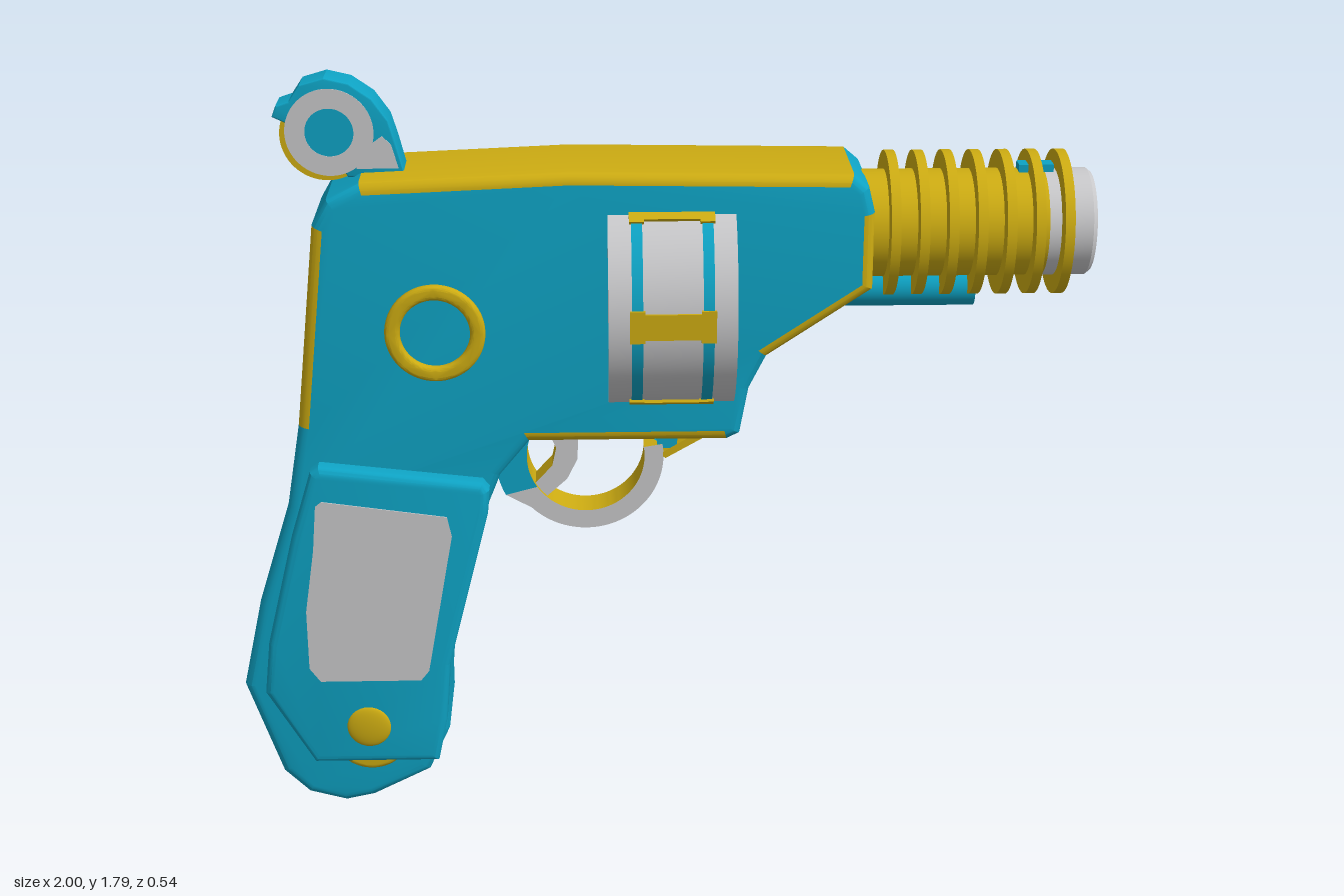
import * as THREE from 'three';
import { toCreasedNormals } from 'three/addons/utils/BufferGeometryUtils.js';

const mat = (name, color) => Object.assign(new THREE.MeshStandardMaterial({ color }), { name });
const teal = mat('teal', 0x0ea3c4);
const yellow = mat('yellow', 0xcdac12);
const grey = mat('light grey', 0xc8c8ca);
const PALETTE = [teal, yellow, grey];
const TEAL = 0, YELLOW = 1, GREY = 2;

const toShape = (pts) => new THREE.Shape(pts.map(([x, y]) => new THREE.Vector2(x, y)));

function disc(x, y, r, hole = 0) {
  const s = new THREE.Shape();
  s.absarc(x, y, r, 0, Math.PI * 2, false);
  if (hole) s.holes.push(new THREE.Path().absarc(x, y, hole, 0, Math.PI * 2, true));
  return s;
}

// Slab of the given total thickness, centred on z = 0, with rounded rims inside the outline
function slab(shape, thickness, bevel = 0) {
  const g = new THREE.ExtrudeGeometry(shape, {
    depth: thickness - 2 * bevel, curveSegments: 32, bevelEnabled: bevel > 0,
    bevelSize: bevel, bevelThickness: bevel, bevelOffset: -bevel, bevelSegments: 4,
  });
  g.translate(0, 0, bevel - thickness / 2);
  return toCreasedNormals(g, 0.4);
}

// Sorts triangles into colour groups by centre and face normal
function paint(g, rule) {
  const p = g.attributes.position, lists = PALETTE.map(() => []);
  const tri = new THREE.Triangle(), c = new THREE.Vector3(), n = new THREE.Vector3();
  for (let i = 0; i < p.count; i += 3) {
    tri.setFromAttributeAndIndices(p, i, i + 1, i + 2);
    tri.getMidpoint(c);
    tri.getNormal(n);
    lists[rule(c, n)].push(i, i + 1, i + 2);
  }
  g.setIndex(lists.flat());
  g.clearGroups();
  let start = 0;
  lists.forEach((l, m) => { g.addGroup(start, l.length, m); start += l.length; });
  return g;
}

export function createModel() {
  const model = new THREE.Group();
  const add = (name, geo, material, x = 0, y = 0, z = 0) => {
    const m = new THREE.Mesh(geo, material);
    m.name = name;
    m.position.set(x, y, z);
    model.add(m);
    return m;
  };

  // Frame and handle in one outline, with yellow top, back, front and underside
  const frame = slab(toShape([
    [0.44, 1.59], [0.475, 1.56], [0.49, 1.5], [0.49, 1.32], [0.25, 1.16], [0.21, 1.08],
    [0.19, 0.97], [0.16, 0.955], [-0.3, 0.955], [-0.37, 0.87], [-0.45, 0.67], [-0.51, 0.4],
    [-0.51, 0.2], [-0.56, 0.09], [-0.7, 0.02], [-0.77, 0.005], [-0.86, 0.03], [-0.92, 0.09],
    [-1, 0.33], [-0.95, 0.55], [-0.87, 0.8], [-0.835, 1], [-0.78, 1.48], [-0.745, 1.54],
    [-0.67, 1.58], [-0.2, 1.6],
  ]), 0.284, 0.026);
  add('frame', paint(frame, (c, n) => {
    if (Math.abs(n.z) > 0.99) return TEAL;
    const top = c.y > 1.54 && c.x > -0.66 && c.x < 0.42;
    const front = c.x > 0.27 && c.y > 1.17 && c.y < 1.5;
    const under = c.y > 0.94 && c.y < 0.99 && c.x > -0.25 && c.x < 0.1;
    const back = c.x < -0.75 && c.y > 1.02 && c.y < 1.475;
    return top || front || under || back ? YELLOW : TEAL;
  }), PALETTE);

  // Grip plates, inlays, screws and side rings on both sides
  const grip = slab(toShape([
    [-0.79, 0.915], [-0.41, 0.87], [-0.395, 0.85], [-0.4, 0.79], [-0.5, 0.4], [-0.512, 0.25],
    [-0.535, 0.14], [-0.835, 0.14], [-0.945, 0.33], [-0.93, 0.46], [-0.86, 0.74], [-0.81, 0.9],
  ]), 0.08, 0.02);
  const inlay = slab(toShape([
    [-0.785, 0.832], [-0.495, 0.79], [-0.485, 0.74], [-0.55, 0.39], [-0.57, 0.365],
    [-0.81, 0.365], [-0.835, 0.4], [-0.835, 0.55], [-0.81, 0.71], [-0.8, 0.82],
  ]), 0.006);
  const screw = new THREE.SphereGeometry(0.053, 32, 16).scale(1, 1, 0.22);
  const buttCap = slab(disc(-0.7, 0.2, 0.095), 0.04, 0.012);
  const sideRing = slab(disc(-0.51, 1.23, 0.115, 0.08), 0.04, 0.01);
  for (const [side, s] of [['left', 1], ['right', -1]]) {
    add(side + 'GripPlate', grip, teal, 0, 0, s * 0.146);
    add(side + 'GripInlay', inlay, grey, 0, 0, s * 0.186);
    add(side + 'GripScrew', screw, yellow, -0.7, 0.24, s * 0.185);
    add(side + 'ButtCap', buttCap, yellow, 0, 0, s * 0.135);
    add(side + 'SideRing', sideRing, yellow, 0, 0, s * 0.139);
  }
  const stud = add('handleStud', new THREE.BoxGeometry(0.012, 0.036, 0.036), yellow, -0.527, 0.16, 0);
  stud.rotation.z = -0.43;

  // Revolving drum with six open chambers
  const drumShape = disc(0, 0, 0.266);
  for (let i = 0; i < 6; i++) {
    const a = Math.PI / 6 + (i * Math.PI) / 3;
    drumShape.holes.push(new THREE.Path().absarc(
      0.16 * Math.cos(a), 0.16 * Math.sin(a), 0.075, 0, Math.PI * 2, true));
  }
  add('drum', slab(drumShape, 0.29).rotateY(Math.PI / 2), grey, 0.03, 1.28);
  for (const x of [-0.05, 0.11]) {
    const band = new THREE.CylinderGeometry(0.268, 0.268, 0.025, 64, 1, true).rotateZ(Math.PI / 2);
    add('drumBand', band, teal, x, 1.28);
  }
  for (let i = 0; i < 6; i++) {
    const a = (i * Math.PI) / 3;
    const holder = new THREE.Group();
    holder.name = 'drumRib';
    holder.position.set(0.03, 1.28, 0);
    holder.rotation.x = a;
    for (const [w, h, x] of [[0.17, 0.06, 0], [0.034, 0.075, -0.08], [0.034, 0.075, 0.08]]) {
      const rib = new THREE.Mesh(new THREE.BoxGeometry(w, h, 0.012), yellow);
      rib.position.set(x, 0, 0.265);
      holder.add(rib);
    }
    model.add(holder);
  }

  // Barrel with cooling fins, hollow muzzle, sight and lower rod
  const axial = (r, len) => new THREE.CylinderGeometry(r, r, len, 48).rotateZ(-Math.PI / 2);
  add('barrel', axial(0.124, 0.45), yellow, 0.665, 1.44);
  for (let i = 0; i < 7; i++) add('barrelFin', axial(0.167, 0.022), yellow, 0.535 + i * 0.0655, 1.44);
  const muzzle = new THREE.LatheGeometry([
    [0.124, 0.89], [0.124, 0.99], [0.116, 1], [0.084, 1], [0.076, 0.99], [0.076, 0.89],
  ].map(([r, x]) => new THREE.Vector2(r, x)), 48);
  muzzle.rotateZ(-Math.PI / 2);
  add('muzzle', toCreasedNormals(muzzle, 0.4), new THREE.MeshStandardMaterial().copy(grey), 0, 1.44).material = grey;
  add('sight', new THREE.BoxGeometry(0.08, 0.05, 0.04), teal, 0.87, 1.555);
  add('lowerRod', axial(0.047, 0.36), teal, 0.56, 1.287);

  // Hammer: teal hook, yellow hub, grey faces with a teal centre
  add('hammerHook', slab(toShape([
    [-0.865, 1.71], [-0.855, 1.735], [-0.825, 1.745], [-0.8, 1.782], [-0.745, 1.798],
    [-0.69, 1.785], [-0.64, 1.75], [-0.605, 1.7], [-0.59, 1.65], [-0.57, 1.57],
    [-0.7, 1.57], [-0.76, 1.66],
  ]), 0.09, 0.004), teal);
  add('hammerHub', slab(disc(-0.745, 1.668, 0.105), 0.086), yellow);
  const neck = slab(toShape([[-0.655, 1.64], [-0.62, 1.665], [-0.6, 1.645], [-0.585, 1.59], [-0.68, 1.59]]), 0.094);
  add('hammerNeck', neck, grey);
  add('hammerRing', slab(disc(-0.738, 1.674, 0.1, 0.055), 0.094), grey);
  add('hammerCentre', slab(disc(-0.738, 1.674, 0.056), 0.091), teal);

  // Trigger guard: grey sides, teal outside, yellow inside
  const gx = -0.17, gy = 0.882, outer = 0.185, inner = 0.14;
  const guardShape = new THREE.Shape();
  guardShape.absarc(gx, gy, outer + 0.03, Math.PI * 0.9, Math.PI * 1.15, false);
  guardShape.absarc(gx, gy, outer, Math.PI * 1.25, Math.PI * 2.05, false);
  guardShape.absarc(gx, gy, inner, Math.PI * 2.05, Math.PI * 0.9, true);
  add('triggerGuard', paint(slab(guardShape, 0.09), (c, n) => {
    if (Math.abs(n.z) > 0.9) return c.x < -0.31 ? TEAL : GREY;
    return Math.hypot(c.x - gx, c.y - gy) > 0.165 ? TEAL : YELLOW;
  }), PALETTE);
  add('guardStrut', slab(toShape([
    [0.005, 0.885], [0.02, 0.875], [0.16, 0.955], [0.13, 0.96],
  ]), 0.09), yellow);
  add('guardTip', slab(toShape([[0, 0.9], [0.045, 0.9], [0.05, 0.935], [0, 0.935]]), 0.088), teal);

  // Trigger blade
  add('trigger', paint(slab(toShape([
    [-0.27, 0.97], [-0.185, 0.97], [-0.19, 0.87], [-0.215, 0.82], [-0.265, 0.775],
    [-0.3, 0.8], [-0.25, 0.855], [-0.24, 0.9],
  ]), 0.07), (c, n) => (Math.abs(n.z) > 0.9 ? GREY : n.x > 0 ? TEAL : YELLOW)), PALETTE);

  return model;
}
